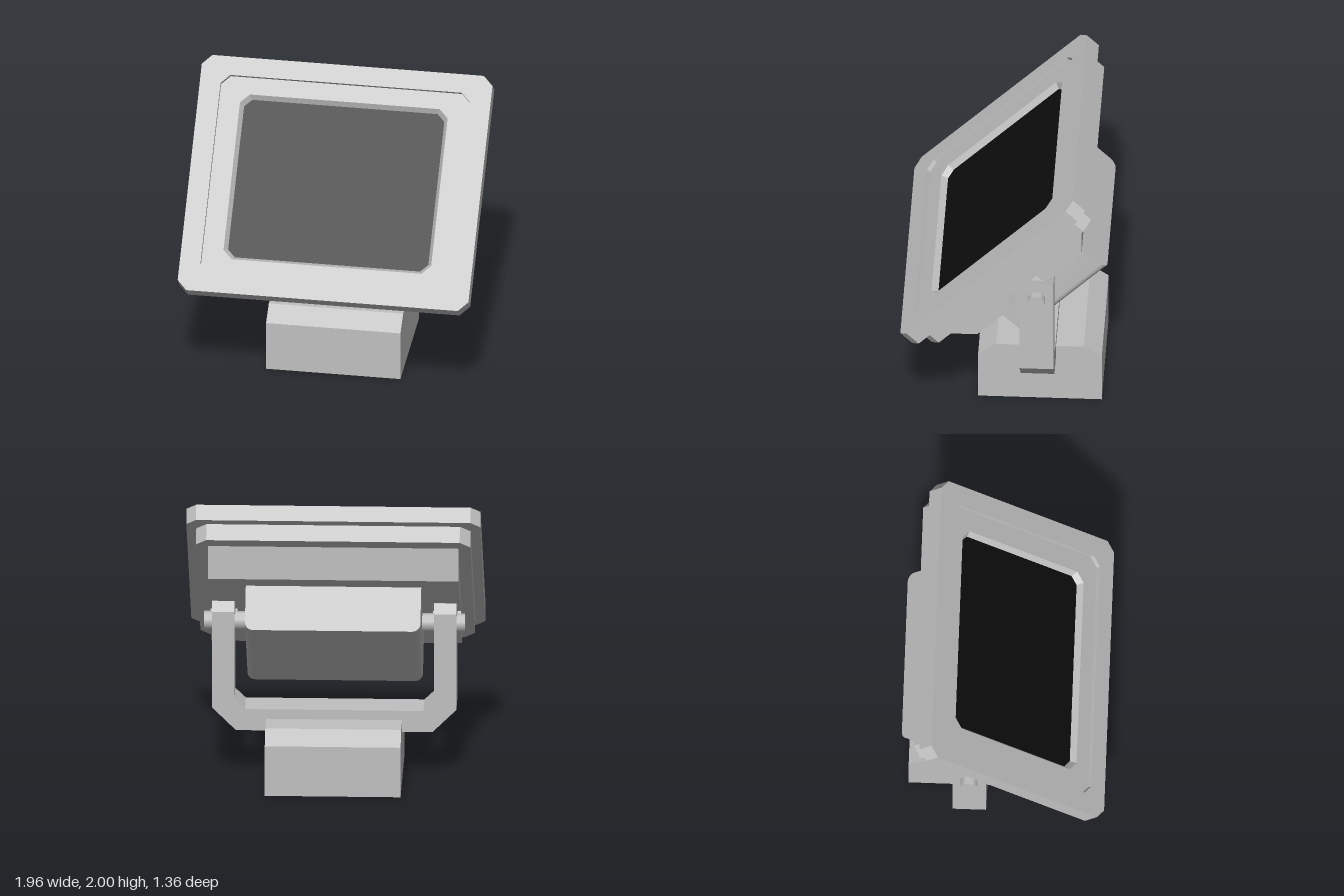
import * as THREE from 'three';
import { toCreasedNormals } from 'three/addons/utils/BufferGeometryUtils.js';

const CENTRE = 0.934; // middle of the tilted head along its own height

// Polygon with cut corners, around the head centre
function cutRect(w, h, c) {
  return [[w, -h + c], [w, h - c], [w - c, h], [-w + c, h], [-w, h - c], [-w, -h + c], [-w + c, -h], [w - c, -h]]
    .map(([x, y]) => new THREE.Vector2(x, y + CENTRE));
}

function toShape(points, hole) {
  const shape = new THREE.Shape(points);
  if (hole) shape.holes.push(new THREE.Path(hole));
  return shape;
}

function extrudeZ(shape, z0, z1) {
  return new THREE.ExtrudeGeometry(shape, { depth: z1 - z0, bevelEnabled: false, curveSegments: 4 }).translate(0, 0, z0);
}

// Profile of [z, y] points swept from x0 to x1
function extrudeX(profile, x0, x1) {
  const shape = new THREE.Shape(profile.map(([z, y]) => new THREE.Vector2(z, y)));
  return new THREE.ExtrudeGeometry(shape, { depth: x1 - x0, bevelEnabled: false })
    .rotateY(-Math.PI / 2).translate(x1, 0, 0);
}

// Band of quads joining two outlines at two depths, facing inwards
function inwardWall(front, zf, back, zb) {
  const pos = [];
  front.forEach((a, i) => {
    const j = (i + 1) % front.length, b = front[j], c = back[j], d = back[i];
    pos.push(a.x, a.y, zf, b.x, b.y, zf, c.x, c.y, zb, a.x, a.y, zf, c.x, c.y, zb, d.x, d.y, zb);
  });
  const geo = new THREE.BufferGeometry();
  geo.setAttribute('position', new THREE.Float32BufferAttribute(pos, 3));
  geo.computeVertexNormals();
  return geo;
}

// Drops the triangles lying on the ground
function openBottom(geo) {
  const p = geo.getAttribute('position'), pos = [];
  for (let i = 0; i < p.count; i += 3) {
    if (Math.max(p.getY(i), p.getY(i + 1), p.getY(i + 2)) < 0.001) continue;
    for (let k = i; k < i + 3; k++) pos.push(p.getX(k), p.getY(k), p.getZ(k));
  }
  const out = new THREE.BufferGeometry();
  out.setAttribute('position', new THREE.Float32BufferAttribute(pos, 3));
  out.computeVertexNormals();
  return out;
}

export function createModel() {
  const grey = new THREE.MeshStandardMaterial({ color: 0xc0c0c0, side: THREE.DoubleSide });
  grey.name = 'light grey metal';
  const black = new THREE.MeshStandardMaterial({ color: 0x0d0d0d });
  black.name = 'black glass';

  const model = new THREE.Group();
  model.name = 'floodlight';
  const add = (parent, name, geo, mat = grey) => {
    const mesh = new THREE.Mesh(geo, mat);
    mesh.name = name;
    parent.add(mesh);
  };

  // Lamp head: local y runs up the face, local z out of it
  const head = new THREE.Group();
  head.name = 'head';
  head.rotation.x = -Math.PI / 4;
  model.add(head);

  const opening = cutRect(0.84, 0.686, 0.06);
  const windowFront = cutRect(0.70, 0.57, 0.06);
  const windowBack = cutRect(0.675, 0.545, 0.05);
  add(head, 'frontFrame', extrudeZ(toShape(cutRect(0.98, 0.814, 0.065), opening), 0.969, 1.082));
  add(head, 'facePanel', new THREE.ShapeGeometry(toShape(opening, windowFront)).translate(0, 0, 1.052));
  add(head, 'windowWall', inwardWall(windowFront, 1.052, windowBack, 1.012));
  add(head, 'glass', new THREE.ShapeGeometry(toShape(windowBack)).translate(0, 0, 1.012), black);
  add(head, 'rearFrame', extrudeZ(toShape(cutRect(0.915, 0.752, 0.07)), 0.851, 0.969));

  // Tapered body with notches at its sides for the bracket arms
  const notch = [[0.686, 1.08], [0.763, 1.08], [0.763, 0.788], [0.686, 0.788]];
  const bodyProfile = (cut) => [[0.851, 0.28], [0.851, 1.593], [0.686, 1.428], ...cut, [0.686, 0.445]];
  add(head, 'body', extrudeX(bodyProfile([]), -0.65, 0.65));
  add(head, 'leftBodySide', extrudeX(bodyProfile(notch), 0.65, 0.835));
  add(head, 'rightBodySide', extrudeX(bodyProfile(notch), -0.835, -0.65));

  // Rear housing with rounded back corners
  const w = 0.585, r = 0.055, near = -0.686, far = -0.361;
  const section = new THREE.Shape();
  section.moveTo(-w, near);
  section.lineTo(w, near);
  section.lineTo(w, far - r);
  section.absarc(w - r, far - r, r, 0, Math.PI / 2);
  section.lineTo(-w + r, far);
  section.absarc(-w + r, far - r, r, Math.PI / 2, Math.PI);
  section.lineTo(-w, near);
  add(head, 'rearHousing', toCreasedNormals(extrudeZ(section, 0.54, 1.326).rotateX(-Math.PI / 2), 0.6));

  // U-shaped bracket
  const half = [[0.655, 0.352], [0.815, 0.512], [0.815, 1.19], [0.665, 1.19], [0.665, 0.57], [0.595, 0.502]];
  const outline = [...half, ...half.map(([x, y]) => [-x, y]).reverse()];
  add(model, 'bracket', extrudeZ(toShape(outline.map(([x, y]) => new THREE.Vector2(x, y))), -0.335, -0.11));

  const tip = [[-0.11, 1.19], [-0.167, 1.247], [-0.278, 1.247], [-0.335, 1.19]];
  for (const [side, s] of [['left', 1], ['right', -1]]) {
    add(model, side + 'ArmTip', extrudeX(tip, s > 0 ? 0.665 : -0.815, s > 0 ? 0.815 : -0.665));
    // Pivot bolt through arm and housing
    const bolt = new THREE.CylinderGeometry(0.061, 0.061, 0.31, 8).rotateY(Math.PI / 8)
      .rotateZ(Math.PI / 2).translate(s * 0.715, 1.093, -0.223);
    add(model, side + 'Bolt', bolt);
  }

  // Hollow base, open underneath
  const baseProfile = [[0.185, 0], [0.185, 0.352], [0.065, 0.435], [-0.52, 0.435], [-0.64, 0.352], [-0.64, 0]];
  add(model, 'base', openBottom(extrudeX(baseProfile, -0.453, 0.453)));

  return model;
}
